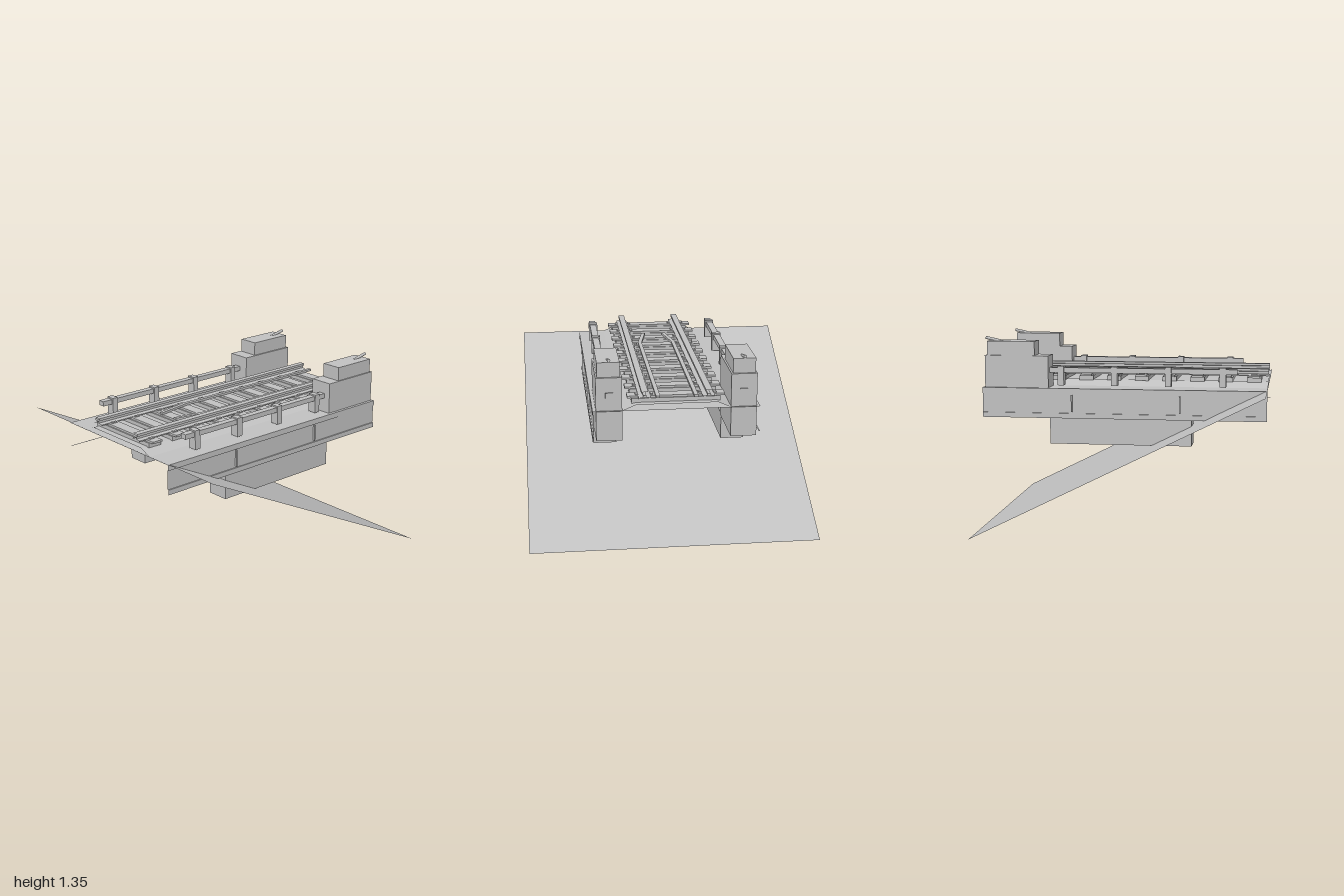
import * as THREE from 'three';

export function createModel() {
  const group = new THREE.Group();
  const grey = new THREE.MeshStandardMaterial({ color: 0xc0c0c0 });
  const greySheet = new THREE.MeshStandardMaterial({ color: 0xc0c0c0, side: THREE.DoubleSide });
  grey.name = 'grey';
  greySheet.name = 'greySheet';

  const add = (name, geometry, material = grey) => {
    const mesh = new THREE.Mesh(geometry, material);
    mesh.name = name;
    group.add(mesh);
    return mesh;
  };

  // Box given by its limits on each axis
  const box = (name, x0, x1, y0, y1, z0, z1) => {
    const g = new THREE.BoxGeometry(x1 - x0, y1 - y0, Math.abs(z1 - z0));
    g.translate((x0 + x1) / 2, (y0 + y1) / 2, (z0 + z1) / 2);
    return add(name, g);
  };

  // Open-ended sweep along x; half profile [z, y] runs upward and is mirrored about zc
  const sweep = (name, half, x0, x1, zc = 0, closed = true) => {
    const mirrored = half.map(([z, y]) => [-z, y]).reverse();
    const profile = [...half, ...mirrored].map(([z, y]) => [z + zc, y]);
    const pos = [];
    const count = closed ? profile.length : profile.length - 1;
    for (let i = 0; i < count; i++) {
      const [az, ay] = profile[i];
      const [bz, by] = profile[(i + 1) % profile.length];
      pos.push(x0, ay, az, x1, ay, az, x1, by, bz);
      pos.push(x0, ay, az, x1, by, bz, x0, by, bz);
    }
    const g = new THREE.BufferGeometry();
    g.setAttribute('position', new THREE.Float32BufferAttribute(pos, 3));
    g.computeVertexNormals();
    return add(name, g);
  };

  // Sloping ground sheet, high at -x and low at +x
  const ground = new THREE.PlaneGeometry(2, 2);
  ground.rotateX(-Math.PI / 2);
  const p = ground.attributes.position;
  for (let i = 0; i < p.count; i++) p.setY(i, 0.5 - 0.5 * p.getX(i));
  ground.computeVertexNormals();
  add('slopingGround', ground, greySheet);

  // Bridge deck with flanged sides, and the bed under the track
  sweep('bridgeDeck', [
    [0.557, 0.785], [0.557, 0.82], [0.548, 0.82],
    [0.548, 0.955], [0.555, 0.955], [0.555, 0.995],
  ], -1, 1);
  sweep('trackBed', [[0.36, 0.996], [0.27, 1.035]], -1, 1, 0, false);

  // Sleepers with a wide foot, a narrow top and rail clips
  for (let i = 0; i < 10; i++) {
    const x = -0.9 + i * 0.2;
    box('sleeperFoot', x - 0.05, x + 0.05, 1.03, 1.062, -0.295, 0.295);
    box('sleeperTop', x - 0.04, x + 0.04, 1.062, 1.076, -0.325, 0.325);
    for (const s of [-1, 1]) {
      for (const z of [0.16, 0.26]) {
        box('railClip', x - 0.02, x + 0.02, 1.076, 1.084, s * z - 0.01, s * z + 0.01);
      }
    }
  }

  for (const s of [-1, 1]) {
    // Running rail
    sweep('rail', [
      [0.04, 1.07], [0.04, 1.078], [0.01, 1.084],
      [0.01, 1.1], [0.022, 1.103], [0.022, 1.12],
    ], -1, 1, s * 0.212);

    // Guard rail, bent inward at its free end
    const path = [[1, 0.14], [-0.3, 0.14], [-0.55, 0.09], [-0.55, 0.063], [-0.29, 0.112], [1, 0.112]];
    const shape = new THREE.Shape(path.map(([x, z]) => new THREE.Vector2(x, -s * z)));
    const guard = new THREE.ExtrudeGeometry(shape, { depth: 0.016, bevelEnabled: false });
    guard.rotateX(-Math.PI / 2);
    guard.translate(0, 1.076, 0);
    add('guardRail', guard);

    // Handrail and its posts
    box('handrail', -0.79, 0.53, 1.1, 1.135, s * 0.435, s * 0.483);
    for (const x of [-0.69, -0.31, 0.07, 0.45]) {
      box('handrailPost', x - 0.022, x + 0.022, 1.01, 1.145, s * 0.425, s * 0.49);
    }

    // Side stiffeners
    for (const x of [-0.4, 0.36]) {
      box('sideStiffener', x - 0.005, x + 0.005, 0.83, 0.95, s * 0.548, s * 0.562);
    }

    // Support block under the deck
    box('supportBlock', -0.48, 0.52, 0.6, 0.786, s * 0.37, s * 0.53);

    // End tower, its cap and a small open frame on the end face
    box('tower', 0.53, 0.985, 0.787, 1.22, s * 0.36, s * 0.533);
    box('towerCap', 0.63, 0.97, 1.22, 1.32, s * 0.372, s * 0.523);
    sweep('towerFrame', [[0.025, 1.08], [0.025, 1.12]], 0.985, 0.995, s * 0.445);

    // Slanted rod on the cap
    const rod = new THREE.CylinderGeometry(0.011, 0.011, 0.125, 10);
    rod.rotateZ(-Math.PI / 2 + 0.22);
    rod.translate(0.936, 1.326, s * 0.445);
    add('capRod', rod);
  }

  return group;
}
